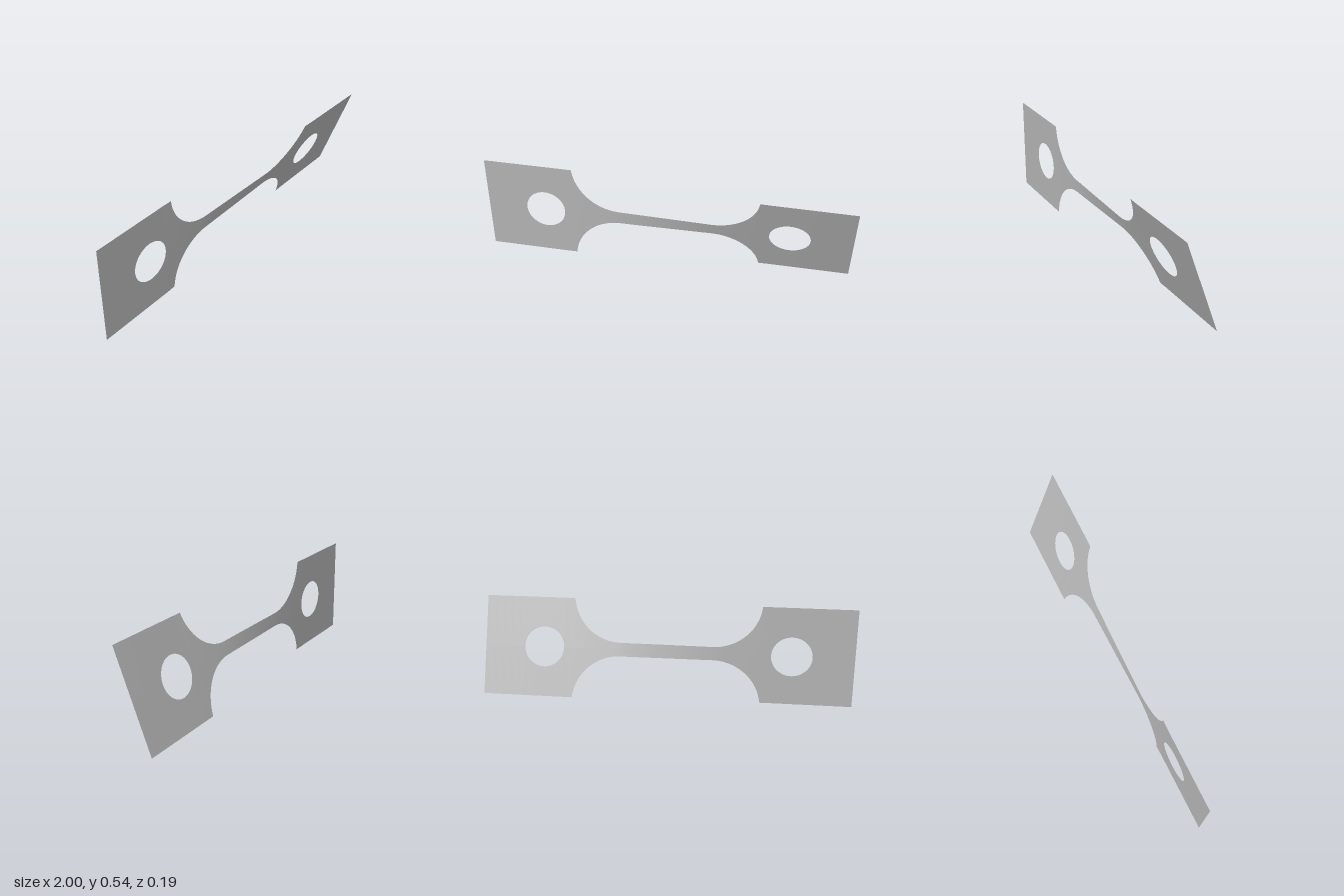
import * as THREE from 'three';

const MID_Y = 0.271;       // height of the long axis
const HALF_GRIP = 0.271;   // half height of the square ends
const HALF_NECK = 0.037;   // half height of the narrow bar
const NECK_END = 0.25;     // where the fillets start
const FILLET_R = 0.26;
const SHOULDER = 0.509;    // where the fillets meet the square ends
const HOLE_X = 0.67;
const HOLE_R = 0.109;

// Twist angle in degrees along x: nearly all of it happens in the narrow bar
const TWIST = [[-1, 0.2], [-0.55, 0.5], [-0.3, 2], [0.3, 18.6], [0.55, 20.2], [1, 20.6]];

function twistAt(x) {
  let i = 0;
  while (i < TWIST.length - 2 && x > TWIST[i + 1][0]) i++;
  const [x0, a0] = TWIST[i];
  const [x1, a1] = TWIST[i + 1];
  return THREE.MathUtils.degToRad(a0 + (a1 - a0) * (x - x0) / (x1 - x0));
}

// Outer half height of the sheet
function outerAt(x) {
  const d = Math.abs(x) - NECK_END;
  if (d <= 0) return HALF_NECK;
  if (Math.abs(x) >= SHOULDER) return HALF_GRIP;
  return Math.min(HALF_GRIP, HALF_NECK + FILLET_R - Math.sqrt(FILLET_R ** 2 - d * d));
}

// Half height of the round hole
function innerAt(x) {
  const d = Math.abs(x) - HOLE_X;
  return Math.sqrt(Math.max(0, HOLE_R ** 2 - d * d));
}

// A twisted strip above and one below the axis, through the given x stations
function twistedSheet(stations) {
  const positions = [];
  const indices = [];
  for (const x of stations) {
    const a = twistAt(x);
    const o = outerAt(x);
    const n = innerAt(x);
    for (const v of [-o, -n, n, o]) {
      positions.push(x, MID_Y + v * Math.cos(a), v * Math.sin(a));
    }
  }
  for (let i = 0; i < stations.length - 1; i++) {
    for (const k of [0, 2]) {
      const p = i * 4 + k;
      const q = p + 4;
      indices.push(p, q, q + 1, p, q + 1, p + 1);
    }
  }
  const geometry = new THREE.BufferGeometry();
  geometry.setAttribute('position', new THREE.Float32BufferAttribute(positions, 3));
  geometry.setIndex(indices);
  geometry.computeVertexNormals();
  return geometry;
}

// Evenly spaced values, passed through a rule
function steps(count, rule) {
  return Array.from({ length: count + 1 }, (_, i) => rule(i / count));
}

export function createModel() {
  const group = new THREE.Group();
  group.name = 'twistedTestStrip';
  const steel = new THREE.MeshStandardMaterial({ color: 0xb4b4b4, side: THREE.DoubleSide });
  steel.name = 'grey steel';

  const add = (name, stations) => {
    const mesh = new THREE.Mesh(twistedSheet(stations), steel);
    mesh.name = name;
    group.add(mesh);
  };

  // Stations bunch up where the fillet and the hole are steep
  const maxAngle = Math.asin((SHOULDER - NECK_END) / FILLET_R);
  const fillet = steps(28, t => NECK_END + FILLET_R * Math.sin(t * maxAngle));
  const grip = [
    SHOULDER,
    ...steps(40, t => HOLE_X - HOLE_R * Math.cos(t * Math.PI)),
    ...steps(4, t => 0.82 + 0.18 * t),
  ];
  const mirrored = list => list.map(x => -x).reverse();

  // Narrow bar
  add('neck', steps(24, t => -NECK_END + 2 * NECK_END * t));
  // Curved shoulders
  add('leftFillet', fillet);
  add('rightFillet', mirrored(fillet));
  // Square ends with round holes
  add('leftGrip', grip);
  add('rightGrip', mirrored(grip));

  return group;
}
